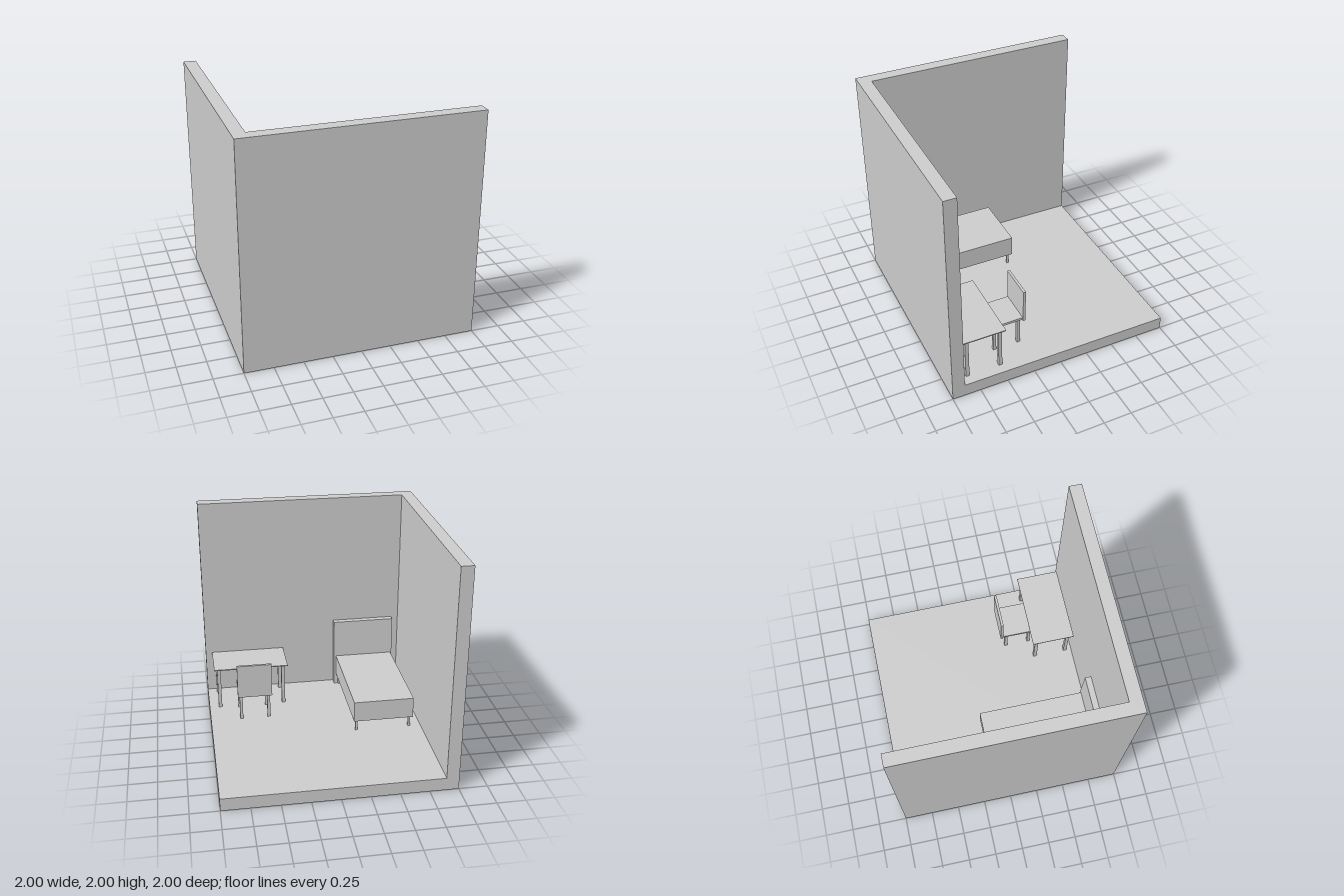
import * as THREE from 'three';

const material = new THREE.MeshStandardMaterial({ color: 0xcccccc });
const FLOOR = 0.115;

// Box given by its minimum and maximum corners
function box(name, [x0, y0, z0], [x1, y1, z1]) {
  const mesh = new THREE.Mesh(new THREE.BoxGeometry(x1 - x0, y1 - y0, z1 - z0), material);
  mesh.position.set((x0 + x1) / 2, (y0 + y1) / 2, (z0 + z1) / 2);
  mesh.name = name;
  return mesh;
}

// Four square legs standing on the floor at every pairing of xs and zs
function legs(name, xs, zs, size, top) {
  const group = new THREE.Group();
  group.name = name;
  const h = size / 2;
  for (const x of xs)
    for (const z of zs)
      group.add(box('leg', [x - h, FLOOR, z - h], [x + h, top, z + h]));
  return group;
}

function group(name, ...parts) {
  const g = new THREE.Group();
  g.name = name;
  g.add(...parts);
  return g;
}

// Floor with two walls meeting in an L, one outline extruded upwards
function room() {
  const shape = new THREE.Shape([
    [-1, -1], [1, -1], [1, -0.89], [-0.89, -0.89], [-0.89, 1], [-1, 1],
  ].map(([x, y]) => new THREE.Vector2(x, y)));
  const geometry = new THREE.ExtrudeGeometry(shape, { depth: 2 - FLOOR, bevelEnabled: false });
  geometry.rotateX(-Math.PI / 2);
  const walls = new THREE.Mesh(geometry, material);
  walls.position.y = FLOOR;
  walls.name = 'walls';
  return group('room', box('floor', [-1, 0, -1], [1, FLOOR, 1]), walls);
}

function bed() {
  // Headboard whose face leans back slightly towards the top
  const headboard = box('headboard', [-0.825, FLOOR, 0.835], [-0.248, 0.77, 0.89]);
  const p = headboard.geometry.attributes.position;
  for (let i = 0; i < p.count; i++)
    if (p.getZ(i) < 0 && p.getY(i) < 0) p.setZ(i, p.getZ(i) - 0.017);
  headboard.geometry.computeVertexNormals();
  return group('bed',
    box('mattress', [-0.812, 0.22, -0.137], [-0.268, 0.412, 0.83]),
    legs('bedLegs', [-0.785, -0.295], [-0.098, 0.81], 0.02, 0.225),
    headboard);
}

function desk() {
  return group('desk',
    box('deskTop', [0.252, 0.51, 0.488], [0.941, 0.519, 0.876]),
    legs('deskLegs', [0.295, 0.898], [0.529, 0.828], 0.032, 0.512));
}

function chair() {
  const seat = box('seat', [0.438, 0.366, 0.23], [0.738, 0.389, 0.528]);
  seat.rotation.x = 0.015;
  return group('chair',
    seat,
    box('backrest', [0.432, 0.36, 0.217], [0.747, 0.676, 0.24]),
    legs('chairLegs', [0.462, 0.716], [0.275, 0.498], 0.027, 0.372));
}

export function createModel() {
  return group('bedroom', room(), bed(), desk(), chair());
}
